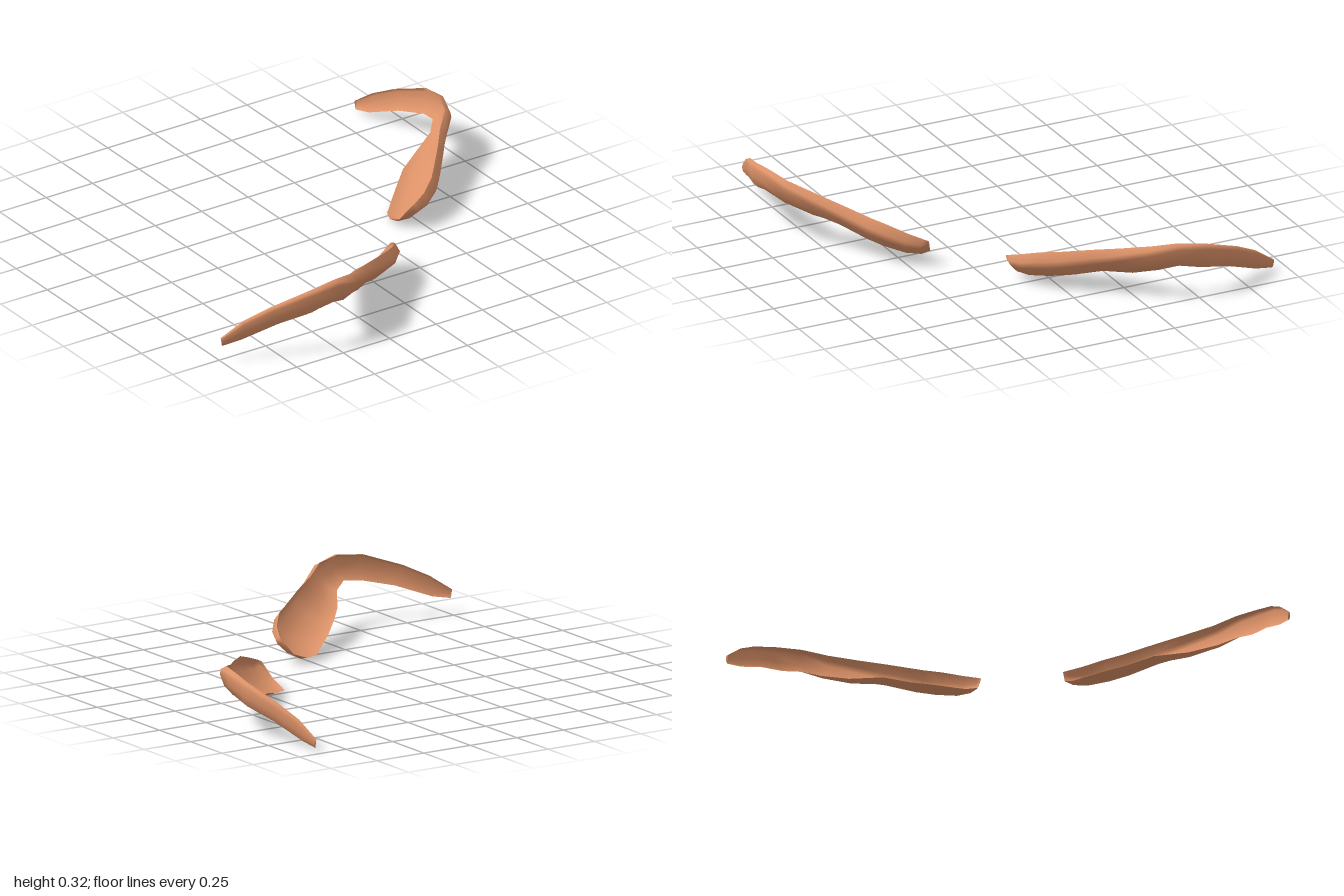
import * as THREE from 'three';

// Cross-sections from tail to inner end: upper edge xyz, lower edge xyz, depth
const stations = [
  [-1.0, 0.12, 0.762, -0.995, 0.08, 0.765, 0.01],
  [-0.9, 0.19, 0.793, -0.91, 0.095, 0.787, 0.018],
  [-0.79, 0.245, 0.84, -0.75, 0.155, 0.848, 0.022],
  [-0.62, 0.305, 0.9, -0.6, 0.19, 0.896, 0.027],
  [-0.48, 0.325, 0.902, -0.5, 0.205, 0.886, 0.034],
  [-0.36, 0.31, 0.87, -0.43, 0.18, 0.836, 0.045],
  [-0.25, 0.275, 0.785, -0.36, 0.135, 0.725, 0.055],
  [-0.14, 0.25, 0.715, -0.26, 0.115, 0.605, 0.063],
  [-0.015, 0.215, 0.627, -0.17, 0.075, 0.52, 0.07],
  [0.05, 0.2, 0.58, -0.1, 0.055, 0.46, 0.072],
  [0.115, 0.165, 0.505, -0.03, 0.032, 0.4, 0.062],
  [0.143, 0.137, 0.443, 0.03, 0.03, 0.383, 0.044],
  [0.147, 0.125, 0.42, 0.1, 0.055, 0.39, 0.016],
];

// Open section: [share of the way from upper to lower edge, share of depth forward]
const section = [[0, 0], [0.01, 0.65], [0.14, 0.95], [0.5, 1.05], [0.86, 0.65], [1, 0]];

// The two brows mirror each other across this tilted plane
const mirrorNormal = new THREE.Vector3(0.74, -0.027, -0.673).normalize();
const mirrorOffset = 0.007;

function browGeometry(mirrored) {
  const upper = stations.map((s) => new THREE.Vector3(s[0], s[1], s[2]));
  const lower = stations.map((s) => new THREE.Vector3(s[3], s[4], s[5]));
  const middle = upper.map((u, j) => u.clone().lerp(lower[j], 0.5));
  const last = stations.length - 1;
  const n = section.length;
  const points = [];

  // Shell bulging forward, hollow behind
  stations.forEach((s, j) => {
    const along = middle[Math.min(j + 1, last)].clone().sub(middle[Math.max(j - 1, 0)]);
    const forward = along.cross(upper[j].clone().sub(lower[j])).normalize();
    for (const [t, h] of section) {
      points.push(upper[j].clone().lerp(lower[j], t).addScaledVector(forward, h * s[6]));
    }
  });
  points.push(middle[0], middle[last]);

  if (mirrored) {
    for (const p of points) {
      p.addScaledVector(mirrorNormal, -2 * (p.dot(mirrorNormal) - mirrorOffset));
    }
  }

  const index = [];
  const tri = (a, b, c) => (mirrored ? index.push(a, c, b) : index.push(a, b, c));
  const tailCentre = points.length - 2;
  for (let i = 0; i < n - 1; i++) {
    for (let j = 0; j < last; j++) {
      const a = j * n + i, b = a + n;
      tri(a, a + 1, b + 1);
      tri(a, b + 1, b);
    }
    // Close both tips
    tri(tailCentre, i + 1, i);
    tri(tailCentre + 1, last * n + i, last * n + i + 1);
  }

  const geometry = new THREE.BufferGeometry().setFromPoints(points);
  geometry.setIndex(index);
  geometry.computeVertexNormals();
  return geometry;
}

export function createModel() {
  const group = new THREE.Group();
  group.name = 'eyebrows';
  const material = new THREE.MeshStandardMaterial({ color: 0xdd9268, side: THREE.DoubleSide });
  for (const [name, mirrored] of [['rightEyebrow', false], ['leftEyebrow', true]]) {
    const brow = new THREE.Mesh(browGeometry(mirrored), material);
    brow.name = name;
    group.add(brow);
  }
  return group;
}
